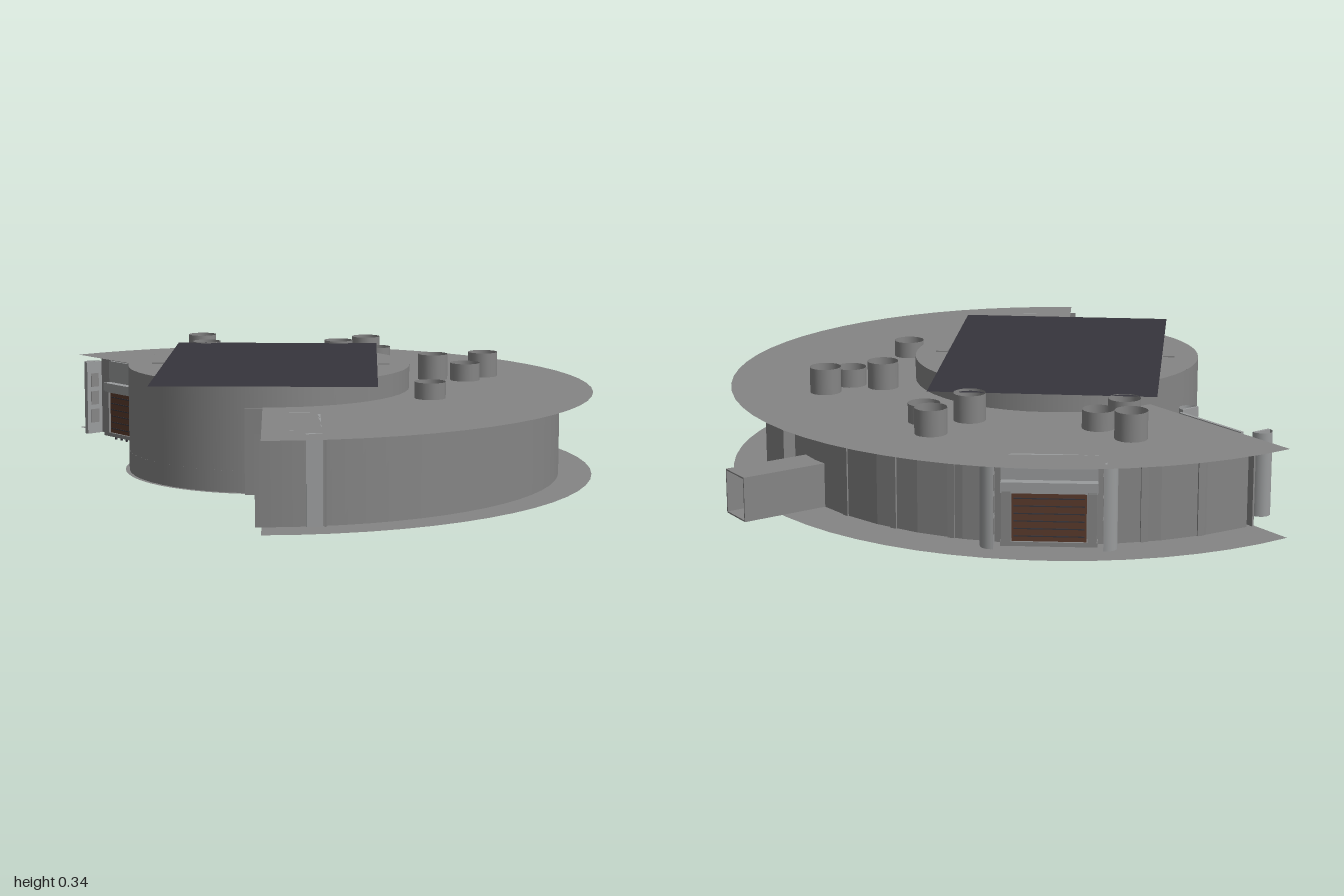
import * as THREE from 'three';

const D = Math.PI / 180;
const CX = -0.167;              // centre of the ring
const START = 2.3, SWEEP = 219.5; // ring sector in degrees, from +z round through +x
const FLOOR = 0.016, ROOF = 0.266, HUB_TOP = 0.335;

function mat(name, color) {
  const m = new THREE.MeshStandardMaterial({ color, side: THREE.DoubleSide });
  m.name = name;
  return m;
}

export function createModel() {
  const root = new THREE.Group();
  root.name = 'ringStation';
  const grey = mat('hull grey', 0x858585);
  const light = mat('light grey', 0x9a9c9d);
  const dark = mat('dark slate', 0x36353c);
  const brown = mat('door brown', 0x5a3a2c);

  function add(parent, name, geo, material, x = 0, y = 0, z = 0) {
    const m = new THREE.Mesh(geo, material);
    m.name = name;
    m.position.set(x, y, z);
    parent.add(m);
    return m;
  }
  const box = (p, name, w, h, d, m, x, y, z) =>
    add(p, name, new THREE.BoxGeometry(w, h, d), m, x, y, z);
  // flat horizontal ring sector
  function deck(name, rIn, rOut, y, start, sweep, m = grey, cx = CX) {
    const g = new THREE.RingGeometry(rIn, rOut, Math.ceil(sweep / 5.6), 1, (start - 90) * D, sweep * D);
    return add(root, name, g.rotateX(-Math.PI / 2), m, cx, y, 0);
  }
  // upright curved wall without caps
  function wall(parent, name, r, y0, y1, start, sweep, segs, m = grey, x = CX, z = 0) {
    const g = new THREE.CylinderGeometry(r, r, y1 - y0, segs, 1, true, start * D, sweep * D);
    return add(parent, name, g, m, x, (y0 + y1) / 2, z);
  }
  // group standing at a place, its own +z turned outward
  function station(name, x, z, deg) {
    const g = new THREE.Group();
    g.name = name;
    g.position.set(x, 0, z);
    g.rotation.y = deg * D;
    root.add(g);
    return g;
  }
  const polar = (r, deg) => [CX + r * Math.sin(deg * D), r * Math.cos(deg * D)];

  // Ring decks
  deck('floorDeck', 0.35, 1.0, FLOOR, START, SWEEP);
  deck('roofDeck', 0.40, 1.0, ROOF, START, SWEEP);

  // Outer walls: smooth on the front and side, flat panels at the back
  wall(root, 'outerWall', 0.9, FLOOR, ROOF, 1.2, 120, 24);
  const panels = wall(root, 'backWall', 0.865, FLOOR, ROOF, 121.2, 99, 11);
  panels.geometry = panels.geometry.toNonIndexed();
  panels.geometry.computeVertexNormals();
  const step = station('wallStep', ...polar(0.8825, 121.2), 121.2);
  box(step, 'stepPanel', 0.004, ROOF - FLOOR, 0.035, grey, 0, (ROOF + FLOOR) / 2, 0);
  for (const a of [140, 152, 164, 199, 210]) {
    const rib = station('wallRib', ...polar(0.862, a), a);
    box(rib, 'rib', 0.02, ROOF - FLOOR, 0.012, grey, 0, (ROOF + FLOOR) / 2, 0);
  }
  const ridge = station('frontRidge', ...polar(0.897, 11.3), 11.3);
  box(ridge, 'ridge', 0.045, ROOF - FLOOR, 0.016, light, 0, (ROOF + FLOOR) / 2, 0);

  // Cut-end walls
  const endA = station('frontEnd', 0.03, 0.655, -90 + START);
  box(endA, 'endWall', 0.47, ROOF - FLOOR, 0.006, grey, 0, (ROOF + FLOOR) / 2, 0);
  const endB = station('backEnd', ...polar(0.65, START + SWEEP), START + SWEEP + 90);
  box(endB, 'endWall', 0.44, ROOF - FLOOR, 0.006, grey, 0, (ROOF + FLOOR) / 2, -0.006);
  box(root, 'hubSideWall', 0.24, ROOF - FLOOR, 0.006, grey, -0.08, (ROOF + FLOOR) / 2, 0.45);

  // Central hub: wall, roof, raised inner floor and thin foot flange
  const HX = -0.15;
  wall(root, 'hubWall', 0.428, FLOOR, HUB_TOP, 0, 360, 48, grey, HX);
  deck('hubRoof', 0.001, 0.428, HUB_TOP, 0, 360, grey, HX);
  deck('hubFloor', 0.001, 0.428, 0.08, 0, 360, grey, HX);
  deck('hubFloorRing', 0.195, 0.2, 0.078, 0, 360, dark, HX);
  deck('hubFlange', 0.426, 0.44, FLOOR, 0, 360, grey, HX);
  for (const x of [-0.49, 0.2])
    box(root, 'hubClamp', 0.035, 0.006, 0.022, grey, x, HUB_TOP + 0.001, 0);

  // Dark rectangular sheet over the hub
  const sheet = new THREE.PlaneGeometry(0.65, 1.015).rotateX(-Math.PI / 2);
  add(root, 'topSheet', sheet, dark, -0.145, HUB_TOP + 0.003, 0.003);

  // Door bays with framed door and two half-round pillars
  function doorBay(x, z, deg) {
    const g = station('doorBay', x, z, deg);
    box(g, 'door', 0.2, 0.135, 0.008, brown, 0, 0.098, 0.03);
    for (let i = 0; i < 6; i++)
      box(g, 'doorSlat', 0.19, 0.003, 0.004, dark, 0, 0.045 + i * 0.021, 0.034);
    box(g, 'lintel', 0.26, 0.03, 0.04, light, 0, 0.18, 0.02);
    box(g, 'sill', 0.26, 0.012, 0.04, grey, 0, 0.024, 0.02);
    box(g, 'upperPanel', 0.26, 0.07, 0.01, light, 0, 0.231, 0.012);
    for (const s of [-1, 1]) {
      box(g, 'jamb', 0.025, 0.15, 0.04, grey, s * 0.115, 0.095, 0.02);
      const p = wall(g, 'pillar', 0.03, 0.026, ROOF, s < 0 ? 180 : 0, 180, 10, light, s * 0.15, 0.065);
      p.scale.x = 1.1;
      box(g, 'pillarFace', 0.008, 0.24, 0.058, light, s * 0.15, 0.146, 0.065);
      for (let i = 0; i < 3; i++)
        box(g, 'pillarInset', 0.003, 0.045, 0.03, grey, s * 0.145, 0.085 + i * 0.06, 0.065);
    }
    for (let i = 0; i < 7; i++)
      box(g, 'footPeg', 0.006, 0.012, 0.006, dark, (i - 3) * 0.03, 0.012, 0.02);
  }
  doorBay(...polar(0.85, 182), 182);
  const [bx, bz] = polar(0.667, START + SWEEP);
  doorBay(bx, bz, START + SWEEP + 90);
  doorBay(0.03, 0.67, -90 + START);

  // Side corridor, open at its outer end, with a door inside
  const c = station('corridor', ...polar(0.98, 129.7), 129.7);
  for (const s of [-1, 1]) box(c, 'corridorSide', 0.004, 0.126, 0.27, grey, s * 0.052, 0.079, 0);
  box(c, 'corridorRoof', 0.108, 0.004, 0.27, grey, 0, 0.142, 0);
  box(c, 'corridorFloor', 0.108, 0.004, 0.27, grey, 0, 0.018, 0);
  box(c, 'corridorDoor', 0.09, 0.11, 0.008, brown, 0, 0.078, -0.09);
  for (let i = 0; i < 5; i++)
    box(c, 'footPeg', 0.006, 0.016, 0.006, dark, (i - 2) * 0.018, 0.008, -0.1);

  // Open tubs on the roof: x, z, top
  const tubs = [
    [-0.405, -0.68, 0.345], [-0.38, -0.53, 0.34], [-0.31, -0.58, 0.32],
    [0.055, -0.53, 0.345], [0.18, -0.56, 0.32], [0.145, -0.68, 0.34],
    [0.355, -0.18, 0.345], [0.455, -0.16, 0.32], [0.515, -0.255, 0.342],
    [0.335, 0.23, 0.315],
  ];
  for (const [x, z, top] of tubs) wall(root, 'roofTub', 0.046, ROOF, top, 0, 360, 20, grey, x, z);

  return root;
}
